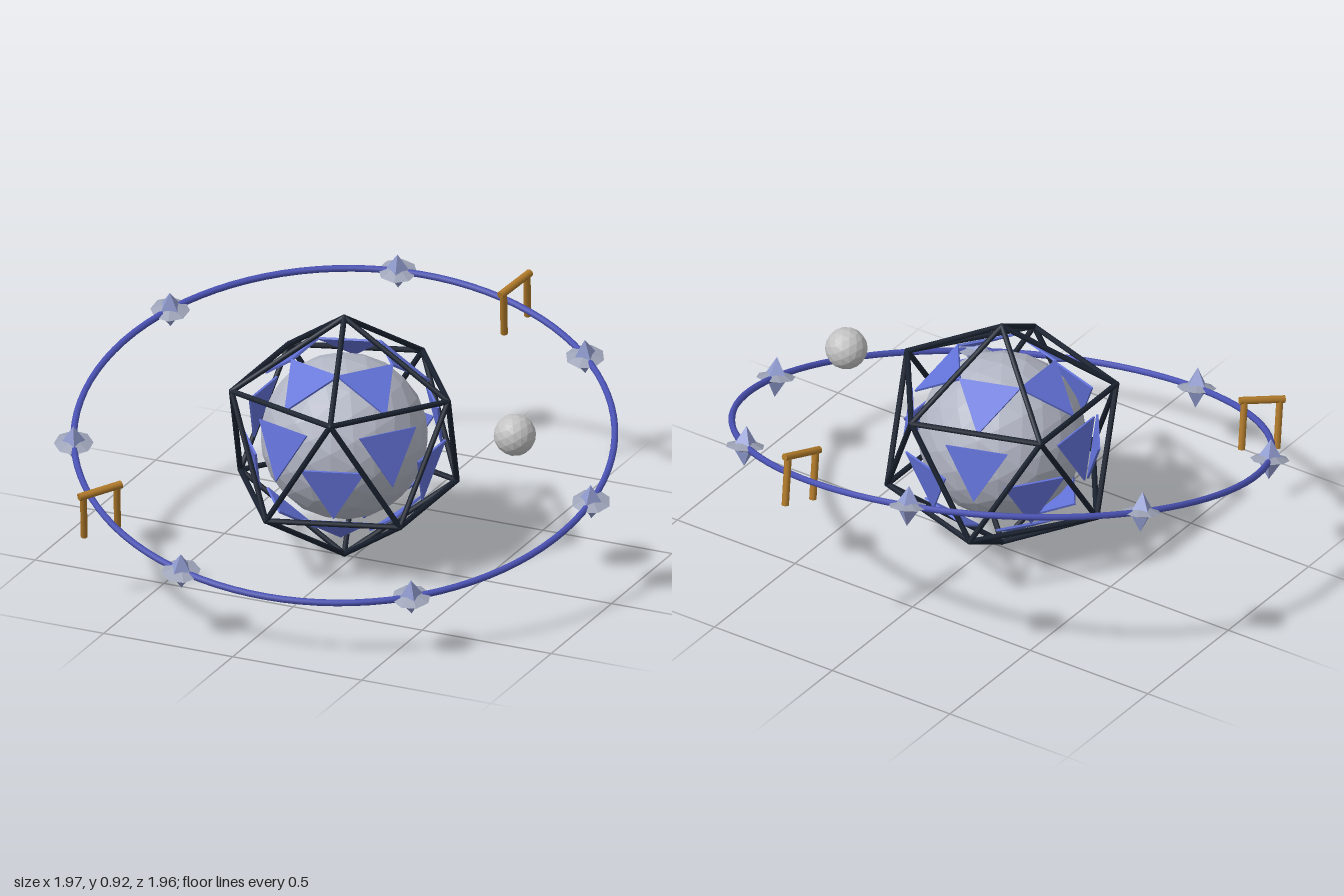
import * as THREE from 'three';

const material = (name, color, flatShading = false) => {
  const m = new THREE.MeshStandardMaterial({ color, flatShading });
  m.name = name;
  return m;
};

export function createModel() {
  const mats = {
    stone: material('pale stone', 0xb2b6c4, true),
    panel: material('blue panel', 0x6272d8, true),
    frame: material('dark frame', 0x1a2230),
    ring: material('indigo ring', 0x4a52b4),
    gem: material('lavender gem', 0x939ed2, true),
    collar: material('grey collar', 0x9ca2b6, true),
    gold: material('gold', 0xb07a2a),
    moon: material('moon grey', 0xc2c2c2, true),
  };

  const model = new THREE.Group();
  model.name = 'orbitalCore';
  const core = new THREE.Group();
  core.name = 'core';
  core.position.set(-0.03, 0.465, 0.012);
  model.add(core);

  const add = (parent, name, geometry, mat) => {
    const mesh = new THREE.Mesh(geometry, mat);
    mesh.name = name;
    parent.add(mesh);
    return mesh;
  };
  const Y = new THREE.Vector3(0, 1, 0);
  const rod = (parent, name, a, b, radius, mat) => {
    const dir = b.clone().sub(a);
    const mesh = add(parent, name, new THREE.CylinderGeometry(radius, radius, dir.length(), 8), mat);
    mesh.position.copy(a).add(b).multiplyScalar(0.5);
    mesh.quaternion.setFromUnitVectors(Y, dir.normalize());
    return mesh;
  };

  // Faceted inner sphere
  add(core, 'innerSphere', new THREE.IcosahedronGeometry(0.295, 3), mats.stone);

  // Icosahedron corners with one corner straight up
  const R = 0.45;
  const corners = [new THREE.Vector3(0, R, 0), new THREE.Vector3(0, -R, 0)];
  for (let i = 0; i < 10; i++) {
    const a = (i * Math.PI) / 5;
    const h = (i % 2 ? -R : R) / Math.sqrt(5);
    const r = (2 * R) / Math.sqrt(5);
    corners.push(new THREE.Vector3(r * Math.cos(a), h, r * Math.sin(a)));
  }
  const joined = (a, b) => a.distanceTo(b) < R * 1.1;

  // Cage bars along the edges, with small joints at the corners
  const cage = new THREE.Group();
  cage.name = 'cage';
  core.add(cage);
  corners.forEach((a, i) => {
    add(cage, 'cageJoint', new THREE.SphereGeometry(0.0105, 8, 6), mats.frame).position.copy(a);
    for (let j = i + 1; j < 12; j++) {
      if (joined(a, corners[j])) rod(cage, 'cageBar', a, corners[j], 0.01, mats.frame);
    }
  });

  // One triangular panel inside each cage face, all pointing down
  const panels = new THREE.Group();
  panels.name = 'panels';
  const panelGeo = new THREE.CylinderGeometry(0.131, 0.131, 0.008, 3);
  panelGeo.rotateX(Math.PI / 2);
  for (let i = 0; i < 12; i++) for (let j = i + 1; j < 12; j++) for (let k = j + 1; k < 12; k++) {
    const [a, b, c] = [corners[i], corners[j], corners[k]];
    if (!joined(a, b) || !joined(b, c) || !joined(a, c)) continue;
    const normal = a.clone().add(b).add(c).normalize();
    const panel = add(panels, 'panel', panelGeo, mats.panel);
    panel.position.copy(normal).multiplyScalar(0.332);
    panel.lookAt(normal);
  }
  core.add(panels);

  // Tilted orbit ring
  const orbit = new THREE.Group();
  orbit.name = 'orbit';
  orbit.rotation.set(0.25, 0, -0.1);
  core.add(orbit);
  const orbitR = 0.95;
  add(orbit, 'orbitRing', new THREE.TorusGeometry(orbitR, 0.012, 8, 96).rotateX(Math.PI / 2), mats.ring);

  // Holder placed on the ring, with its x axis pointing outwards
  const station = (name, angle) => {
    const g = new THREE.Group();
    g.name = name;
    g.position.set(orbitR * Math.cos(angle), 0, orbitR * Math.sin(angle));
    g.rotation.y = -angle;
    orbit.add(g);
    return g;
  };

  // Seven gems with eight-sided collars
  const gemGeo = new THREE.OctahedronGeometry(1).scale(0.047, 0.074, 0.047);
  const collarGeo = new THREE.LatheGeometry(
    [[0, -0.024], [0.07, 0], [0, 0.024]].map(([x, y]) => new THREE.Vector2(x, y)), 8);
  for (let i = 0; i < 7; i++) {
    const g = station('gemStation', (i * 2 * Math.PI) / 7);
    add(g, 'gem', gemGeo, mats.gem);
    add(g, 'gemCollar', collarGeo, mats.collar);
  }

  // Two gates straddling the ring
  const v = (x, y, z = 0) => new THREE.Vector3(x, y, z);
  for (const degrees of [130, -75]) {
    const g = station('gate', THREE.MathUtils.degToRad(degrees));
    for (const s of [-1, 1]) rod(g, 'gatePost', v(s * 0.065, -0.09), v(s * 0.065, 0.09), 0.013, mats.gold);
    rod(g, 'gateBeam', v(-0.083, 0.09), v(0.083, 0.09), 0.014, mats.gold);
  }

  // Small moon
  add(model, 'moon', new THREE.IcosahedronGeometry(0.075, 2), mats.moon).position.set(0.63, 0.585, 0.01);

  return model;
}
